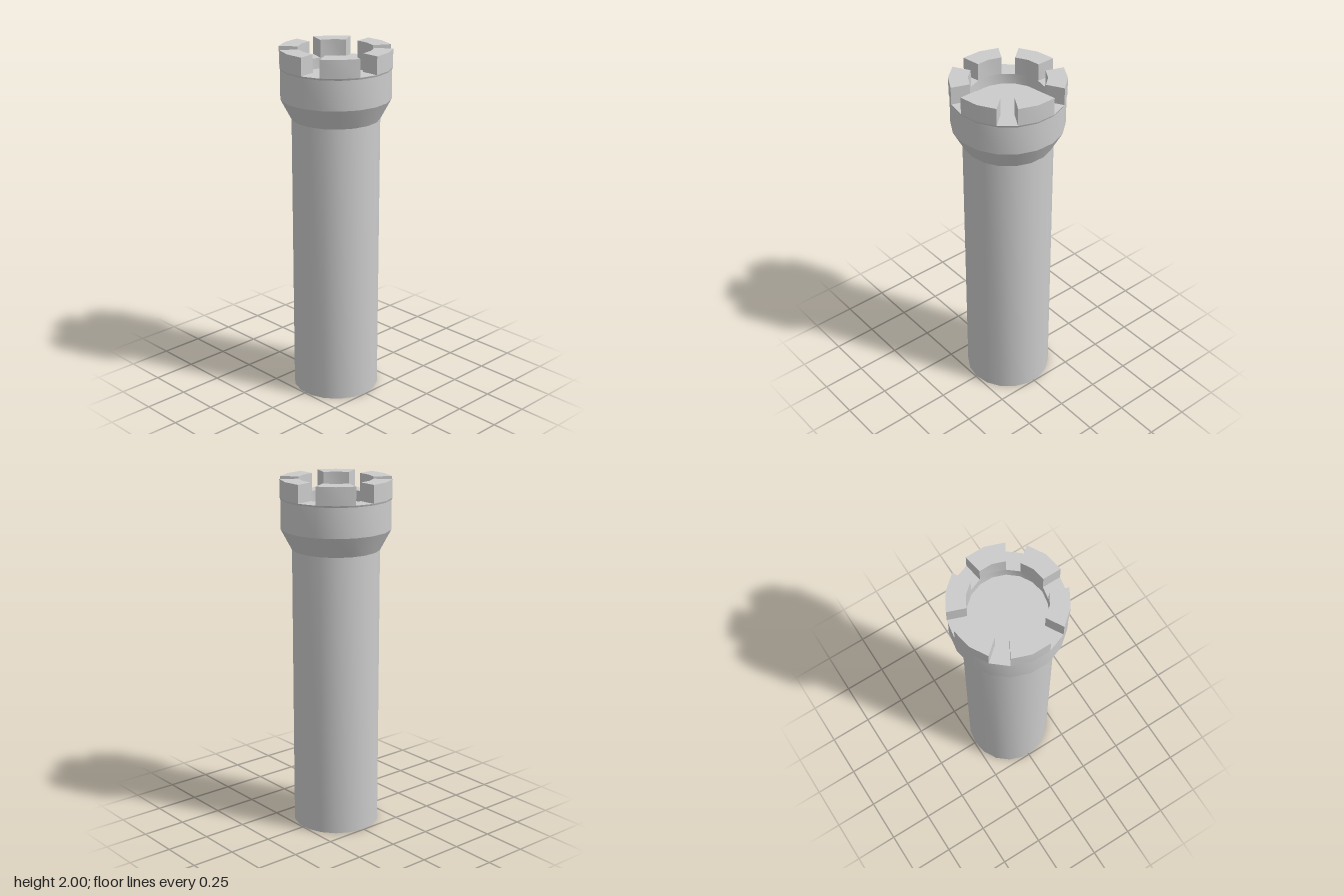
import * as THREE from 'three';
import { toCreasedNormals } from 'three/addons/utils/BufferGeometryUtils.js';

const SIDES = 18;
const STEP = (Math.PI * 2) / SIDES;
const OUTER = 0.31, INNER = 0.2075;   // battlement wall radii
const FLOOR_Y = 1.84, GAP_Y = 1.9, TOP_Y = 2;
const CREASE = 0.37;                  // smooth around the sides, sharp at the rims

export function createModel() {
  const tower = new THREE.Group();
  tower.name = 'tower';
  const material = new THREE.MeshStandardMaterial({ color: 0xcccccc });

  const add = (name, geometry) => {
    const mesh = new THREE.Mesh(toCreasedNormals(geometry, CREASE), material);
    mesh.name = name;
    tower.add(mesh);
  };
  const turn = (points) => new THREE.LatheGeometry(
    points.map(([r, y]) => new THREE.Vector2(r, y)), SIDES, Math.PI / 2);

  // Round shaft with a flat base
  add('shaft', turn([[0, 0], [0.245, 0], [0.245, 1.61]]));

  // Flared head, rim and sunken roof floor
  add('head', turn([
    [0.245, 1.61], [0.306, 1.725], [0.306, 1.89], [OUTER, GAP_Y],
    [INNER, GAP_Y], [INNER, FLOOR_Y], [0, FLOOR_Y],
  ]));

  // Six battlement blocks, two sides wide, with one-side gaps between
  const battlements = (first) => {
    const corner = (r, k) => new THREE.Vector2(
      r * Math.cos((first + k) * STEP), r * Math.sin((first + k) * STEP));
    const outline = new THREE.Shape([
      corner(OUTER, 0), corner(OUTER, 1), corner(OUTER, 2),
      corner(INNER, 2), corner(INNER, 1), corner(INNER, 0),
    ]);
    return new THREE.ExtrudeGeometry(outline, { depth: TOP_Y - GAP_Y, bevelEnabled: false })
      .rotateX(-Math.PI / 2)
      .translate(0, GAP_Y, 0);
  };
  for (let i = 0; i < 6; i++) add(`battlement${i + 1}`, battlements(i * 3));

  return tower;
}
